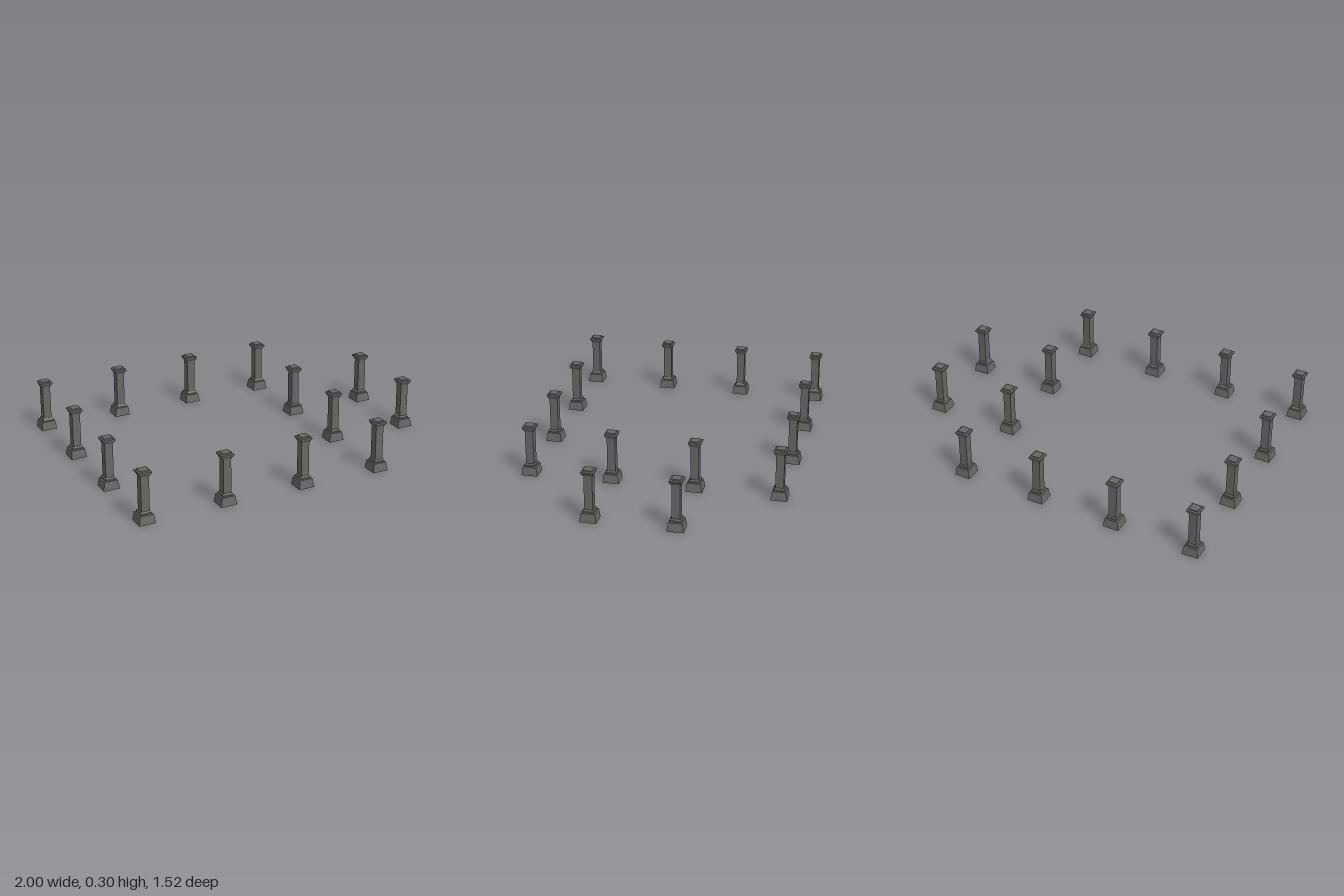
import * as THREE from 'three';

const stone = new THREE.MeshStandardMaterial({ color: 0x666666 });
stone.name = 'grey stone';
stone.flatShading = true;

// Square-section solid from [half width, height] pairs, bottom to top
function squareTurned(profile) {
  const points = profile.map(([w, y]) => new THREE.Vector2(w * Math.SQRT2, y));
  const geometry = new THREE.LatheGeometry(points, 4, Math.PI / 4).toNonIndexed();
  geometry.computeVertexNormals();
  return geometry;
}

const parts = {
  // Sloped plinth with a stepped moulding
  base: squareTurned([
    [0, 0], [0.047, 0], [0.039, 0.05], [0.031, 0.052],
    [0.031, 0.06], [0.025, 0.068], [0, 0.068],
  ]),
  shaft: squareTurned([[0.0235, 0.06], [0.0235, 0.27]]),
  // Flared capital with a small raised cap
  capital: squareTurned([
    [0, 0.266], [0.026, 0.266], [0.028, 0.272], [0.036, 0.284],
    [0.036, 0.292], [0.027, 0.295], [0.025, 0.3], [0, 0.3],
  ]),
};

function createColumn() {
  const column = new THREE.Group();
  column.name = 'column';
  for (const [name, geometry] of Object.entries(parts)) {
    const mesh = new THREE.Mesh(geometry, stone);
    mesh.name = name;
    column.add(mesh);
  }
  return column;
}

export function createModel() {
  const model = new THREE.Group();
  model.name = 'colonnade';
  const step = 0.4765;

  // Rows mirrored front to back: long outer rows, and inner rows with a side porch
  const rows = [
    { z: 1.5, xs: [-2, -1, 0, 1] },
    { z: 0.5, xs: [-2, 1, 2] },
  ];
  for (const side of [-1, 1]) {
    for (const { z, xs } of rows) {
      for (const x of xs) {
        const column = createColumn();
        // One column by the porch stands slightly proud
        const lift = x === 1 && z === 0.5 && side === 1 ? 0.004 : 0;
        column.position.set(x * step, lift, side * z * step);
        model.add(column);
      }
    }
  }
  return model;
}
